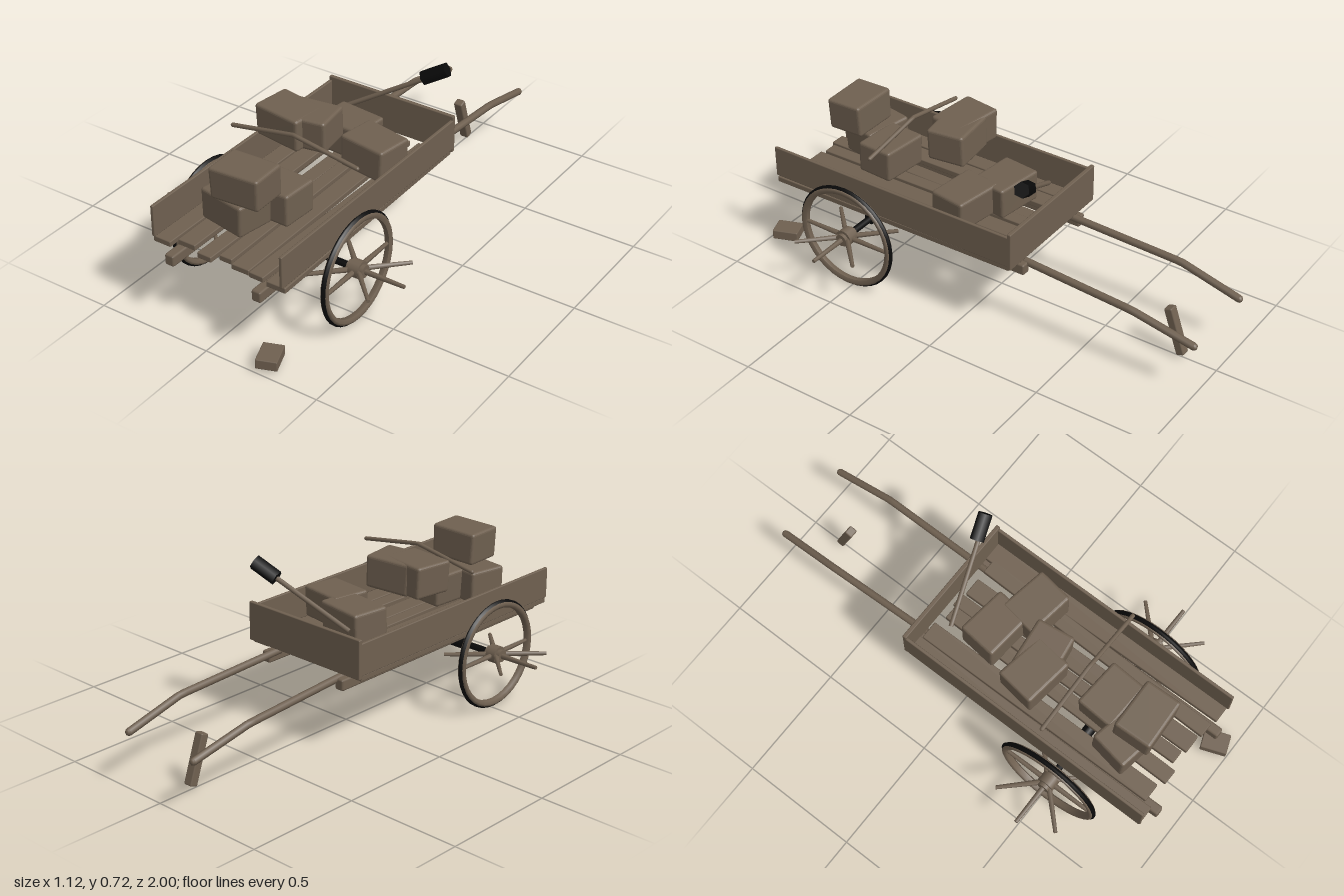
import * as THREE from 'three';
import { RoundedBoxGeometry } from 'three/addons/geometries/RoundedBoxGeometry.js';

const wood = new THREE.MeshStandardMaterial({ color: 0x6f6050 });
wood.name = 'weatheredWood';
const iron = new THREE.MeshStandardMaterial({ color: 0x0a0a0a });
iron.name = 'blackIron';

export function createModel() {
  const root = new THREE.Group();
  root.name = 'handcart';

  const add = (name, geo, mat, pos = [0, 0, 0], rot = [0, 0, 0], parent = root) => {
    const m = new THREE.Mesh(geo, mat);
    m.name = name;
    m.position.set(...pos);
    m.rotation.set(...rot);
    parent.add(m);
    return m;
  };
  // worn timber: a box with narrow chamfers
  const beam = (w, h, d, r = 0.004) => new RoundedBoxGeometry(w, h, d, 1, r);
  const V = (p) => new THREE.Vector3(...p);

  // straight round bar between two points
  const rod = (name, a, b, r0, r1, mat, sides = 8, parent = root) => {
    const A = V(a), B = V(b), dir = B.clone().sub(A);
    const m = add(name, new THREE.CylinderGeometry(r1, r0, dir.length(), sides), mat,
      A.clone().add(B).multiplyScalar(0.5).toArray(), [0, 0, 0], parent);
    m.quaternion.setFromUnitVectors(new THREE.Vector3(0, 1, 0), dir.normalize());
    return m;
  };

  // bent round bar with crisp bends and capped ends
  const bentBar = (name, pts, r) => {
    const path = new THREE.CurvePath();
    for (let i = 1; i < pts.length; i++) path.add(new THREE.LineCurve3(V(pts[i - 1]), V(pts[i])));
    const g = new THREE.Group();
    g.name = name;
    root.add(g);
    add(name + 'Shaft', new THREE.TubeGeometry(path, 24, r, 8), wood, [0, 0, 0], [0, 0, 0], g);
    for (const p of [pts[0], pts[pts.length - 1]]) {
      add(name + 'End', new THREE.SphereGeometry(r, 8, 4), wood, p, [0, 0, 0], g);
    }
  };

  // bed planks: centre x, width, back z, front z, yaw, height
  [
    [-0.257, 0.08, -0.23, 0.915, 0, 0.352],
    [-0.172, 0.08, -0.22, 0.88, 0.006, 0.35],
    [-0.065, 0.065, -0.2, 0.9, -0.012, 0.343],
    [0.004, 0.058, -0.21, 0.875, 0.01, 0.35],
    [0.083, 0.08, -0.2, 0.89, 0.008, 0.346],
    [0.178, 0.065, -0.2, 0.9, -0.02, 0.35],
    [0.256, 0.085, -0.23, 0.91, 0.012, 0.35],
  ].forEach(([x, w, z0, z1, yaw, y]) =>
    add('bedPlank', beam(w, 0.024, z1 - z0), wood, [x, y, (z0 + z1) / 2], [0, yaw, 0]));

  // back board
  add('backBoard', beam(0.6, 0.165, 0.018), wood, [0, 0.432, -0.236]);

  for (const s of [-1, 1]) {
    // side boards and under-bed rails
    add('sideBoard', beam(0.014, 0.135, 1.155), wood, [s * 0.293, 0.43, 0.342]);
    add('bedRail', beam(0.042, 0.048, 1.2, 0.008), wood, [s * 0.2, 0.306, 0.347]);
    // pulling handles
    bentBar('pullHandle', [[s * 0.178, 0.325, -0.2], [s * 0.188, 0.298, -0.72], [s * 0.178, 0.237, -0.985]], 0.0155);

    // wheel with its axis along x
    const wheel = new THREE.Group();
    wheel.name = 'wheel';
    wheel.position.set(s * 0.35, 0.24, 0.52);
    root.add(wheel);
    const rimProfile = [[0.2, -0.01], [0.213, -0.017], [0.223, -0.012], [0.223, 0.012], [0.213, 0.017], [0.2, 0.01], [0.2, -0.01]];
    const tyreProfile = [[0.222, -0.011], [0.231, -0.003], [0.231, 0.003], [0.222, 0.011]];
    const ring = (name, prof, mat) => {
      const geo = new THREE.LatheGeometry(prof.map(([r, y]) => new THREE.Vector2(r, y)), 36);
      add(name, geo, mat, [0, 0, 0], [0, 0, Math.PI / 2], wheel);
    };
    ring('wheelRim', rimProfile, wood);
    ring('ironTyre', tyreProfile, iron);
    rod('wheelHub', [-0.022, 0, 0], [0.022, 0, 0], 0.037, 0.037, wood, 12, wheel);
    rod('hubSleeve', [-0.037, 0, 0], [0.037, 0, 0], 0.026, 0.026, wood, 12, wheel);
    // spokes lie flat, fanned around the upright axis
    for (let i = 0; i < 8; i++) {
      const a = (i * Math.PI) / 4;
      rod('spoke', [0, 0, 0], [Math.cos(a) * 0.21, 0, Math.sin(a) * 0.21], 0.012, 0.008, wood, 6, wheel);
    }
    rod('axleEnd', [s * 0.19, 0.24, 0.52], [s * 0.34, 0.24, 0.52], 0.014, 0.014, iron);
  }
  rod('axle', [-0.2, 0.24, 0.52], [0.2, 0.24, 0.52], 0.025, 0.025, iron, 10);

  // prop leg and loose block on the ground
  add('propLeg', beam(0.04, 0.208, 0.036, 0.006), wood, [0, 0.125, -0.815], [0.33, 0, 0]);
  add('looseBlock', beam(0.085, 0.042, 0.11), wood, [0.245, 0.046, 0.932], [0, 0.36, 0]);

  // rough-hewn crates: centre, width, depth, yaw
  [
    [[-0.01, 0.602, 0.715], 0.215, 0.16, 0.03],
    [[-0.08, 0.456, 0.685], 0.21, 0.165, -0.18],
    [[0.012, 0.458, 0.545], 0.21, 0.165, -0.06],
    [[0.135, 0.458, 0.085], 0.21, 0.165, -0.15],
    [[-0.035, 0.456, 0.01], 0.215, 0.165, -0.11],
    [[-0.13, 0.602, 0.272], 0.215, 0.165, -0.14],
    [[-0.05, 0.6, 0.252], 0.205, 0.165, 0.13],
  ].forEach(([pos, w, d, yaw], i) => {
    const geo = new RoundedBoxGeometry(w, 0.135, d, 2, 0.012);
    const p = geo.attributes.position;
    // slight taper and lean make each crate uneven
    for (let k = 0; k < p.count; k++) {
      const x = p.getX(k), y = p.getY(k), z = p.getZ(k);
      p.setXYZ(k, x * (1 + 0.25 * y) + 0.04 * Math.sin(i * 2) * y, y + 0.02 * Math.cos(i * 3) * x, z * (1 - 0.2 * x) + 0.04 * Math.cos(i) * y);
    }
    geo.computeVertexNormals();
    add('crate', geo, wood, pos, [0, yaw, 0]);
  });

  // bowed stick above the load
  bentBar('bowedStick', [[-0.288, 0.606, 0.43], [0, 0.657, 0.43], [0.288, 0.61, 0.43]], 0.009);

  // mallet resting against the back board
  rod('malletShaft', [-0.14, 0.475, -0.13], [0.17, 0.65, -0.23], 0.01, 0.01, wood);
  rod('malletHead', [0.155, 0.646, -0.23], [0.247, 0.698, -0.259], 0.032, 0.032, iron, 6);

  return root;
}
